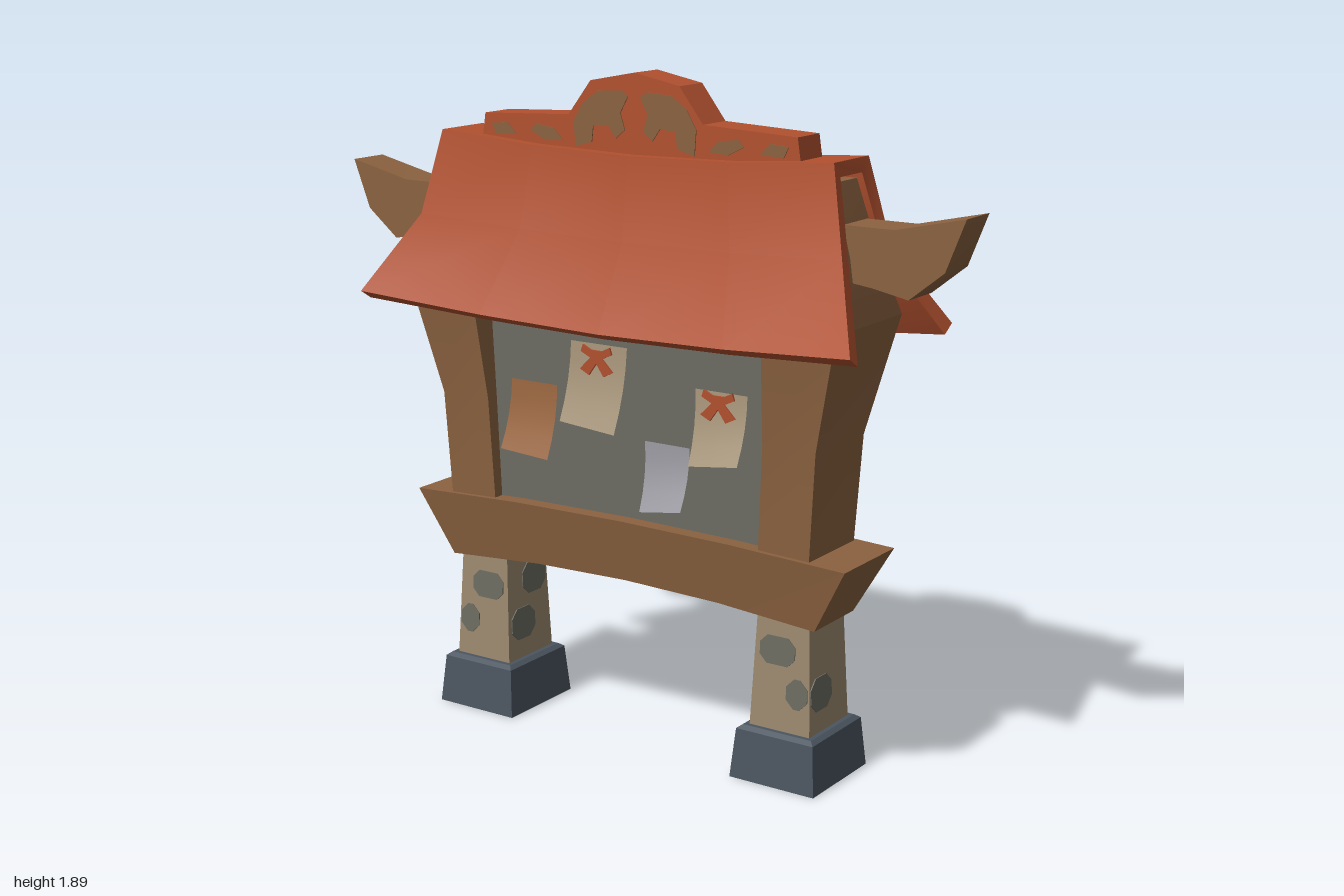
import * as THREE from 'three';
import { toCreasedNormals } from 'three/addons/utils/BufferGeometryUtils.js';

const material = (name, color, extra = {}) => {
  const m = new THREE.MeshStandardMaterial({ color, ...extra });
  m.name = name;
  return m;
};

// Solid through rings of equal point count; a ring is an outer run followed by the reversed inner run,
// so each end is closed by quads between paired points.
function loft(rings, crease = 0.3) {
  const n = rings[0].length, pos = [];
  const quad = (a, b, c, d) => pos.push(...a, ...b, ...c, ...a, ...c, ...d);
  for (let r = 0; r + 1 < rings.length; r++)
    for (let i = 0; i < n; i++) {
      const j = (i + 1) % n;
      quad(rings[r][i], rings[r][j], rings[r + 1][j], rings[r + 1][i]);
    }
  const first = rings[0], last = rings[rings.length - 1];
  for (let i = 0; i < n / 2 - 1; i++) {
    const k = [i, i + 1, n - 2 - i, n - 1 - i];
    quad(...k.map((q) => last[q]));
    quad(...k.reverse().map((q) => first[q]));
  }
  // Turn the surface outward if it came out inside out
  let volume = 0;
  const [a, b, c] = [0, 1, 2].map(() => new THREE.Vector3());
  for (let i = 0; i < pos.length; i += 9) {
    a.fromArray(pos, i); b.fromArray(pos, i + 3); c.fromArray(pos, i + 6);
    volume += a.dot(b.cross(c));
  }
  if (volume < 0)
    for (let i = 0; i < pos.length; i += 9)
      for (let k = 0; k < 3; k++) [pos[i + k], pos[i + 3 + k]] = [pos[i + 3 + k], pos[i + k]];
  const g = new THREE.BufferGeometry();
  g.setAttribute('position', new THREE.Float32BufferAttribute(pos, 3));
  return toCreasedNormals(g, crease);
}

// Horizontal rectangular ring
const rect = (x0, x1, y, z) => [[x0, y, z], [x1, y, z], [x1, y, -z], [x0, y, -z]];

const outline = (pts) => new THREE.Shape(pts.map(([x, y]) => new THREE.Vector2(x, y)));

const slab = (shape, depth, z = -depth / 2) =>
  new THREE.ExtrudeGeometry(shape, { depth, bevelEnabled: false, curveSegments: 4 }).translate(0, 0, z);

// Chamfered patch centred on the origin
const patch = (w, h) => {
  const x = w / 2, y = h / 2, c = h * 0.28;
  return outline([[-x + c, -y], [x - c, -y], [x, -y + c], [x, y - c], [x - c, y], [-x + c, y], [-x, y - c], [-x, -y + c]]);
};

export function createModel() {
  const model = new THREE.Group();
  model.name = 'noticeBoard';
  const roofRed = material('roof red', 0xb2512f);
  const wood = material('wood', 0x8b6240);
  const stone = material('pale stone', 0x9c8a70);
  const grey = material('grey stone', 0x6d6c62);
  const slate = material('slate', 0x4b5560);
  const parchment = material('parchment', 0xa8957a, { side: THREE.DoubleSide });
  const white = material('white paper', 0x9998a0, { side: THREE.DoubleSide });
  const tan = material('tan paper', 0x9a663f, { side: THREE.DoubleSide });

  const add = (name, geo, mat, parent = model) => {
    const m = new THREE.Mesh(geo, mat);
    m.name = name;
    parent.add(m);
    return m;
  };

  // Each side: foot, leg, post and horn, the other side turned half round
  for (const turn of [0, Math.PI]) {
    const side = new THREE.Group();
    side.name = turn ? 'rightSide' : 'leftSide';
    side.rotation.y = turn;
    model.add(side);
    const cx = 0.511;
    const foot = [[0.12, 0.055, 0.055], [0, 0.06, 0.06], [0, 0.133, 0.145], [0.14, 0.121, 0.132], [0.15, 0.108, 0.118]];
    add('foot', loft(foot.map(([y, x, z]) => rect(cx - x, cx + x, y, z))), slate, side);
    add('leg', loft([rect(0.415, 0.607, 0.115, 0.106), rect(0.43, 0.592, 0.48, 0.09)]), stone, side);

    // Stones set into the leg
    for (const s of [1, -1])
      for (const [x, y, w, h] of [[0.497, 0.375, 0.11, 0.08], [0.562, 0.263, 0.066, 0.085]]) {
        const p = add('legStone', slab(patch(w, h), 0.006), grey, side);
        p.position.set(x, y, s * (0.106 - 0.044 * (y - 0.115)));
        p.rotation.x = -s * 0.044;
      }
    for (const [s, y, z] of [[1, 0.26, 0.04], [-1, 0.255, -0.03], [-1, 0.385, 0.03]]) {
      const p = add('legStone', slab(patch(0.11, 0.095), 0.006).rotateY(Math.PI / 2), grey, side);
      p.position.set(cx + s * (0.096 - 0.041 * (y - 0.115)), y, z);
      p.rotation.z = s * 0.041;
    }

    // Post widening to the eaves, then narrowing as the gable
    const post = [
      [0.64, 0.445, 0.603, 0.12], [0.95, 0.46, 0.622, 0.128], [1.28, 0.478, 0.702, 0.175],
      [1.46, 0.478, 0.675, 0.085], [1.65, 0.478, 0.625, 0.053],
    ];
    add('post', loft(post.map(([y, x0, x1, z]) => rect(x0, x1, y, z))), wood, side);

    const horn = outline([[0.58, 1.41], [0.74, 1.39], [0.845, 1.37], [0.945, 1.45], [1, 1.59], [0.8, 1.545], [0.58, 1.545]]);
    add('horn', toCreasedNormals(slab(horn, 0.125), 0.9), wood, side);
  }

  const columns = [-1, -0.5, 0, 0.5, 1];

  // Arched sill beam
  add('sillBeam', loft(columns.map((t) => {
    const yb = 0.485 - 0.03 * t * t, yt = 0.665 - 0.02 * t * t;
    return [[0.615 * t, yb, 0.105], [0.72 * t, yt, 0.135], [0.72 * t, yt, -0.135], [0.615 * t, yb, -0.105]];
  })), wood);

  // Board: wooden back with a grey face
  add('backPanel', new THREE.BoxGeometry(1, 0.73, 0.165).translate(0, 1.005, -0.0025), wood);
  add('boardFace', new THREE.BoxGeometry(0.99, 0.73, 0.008).translate(0, 1.005, 0.084), grey);

  // Curved roof shell with flared corners
  add('roof', loft(columns.map((t) => {
    const q = t * t, c = Math.abs(t) ** 3;
    const outer = [[0.8, 1.21 + 0.04 * q, 0.23 + 0.045 * c], [0.69, 1.445 + 0.02 * q, 0.113 + 0.017 * q], [0.638, 1.675 + 0.03 * q, 0.09]];
    const inner = [[0.8, 1.19 + 0.035 * q, 0.192 + 0.043 * c], [0.69, 1.425 + 0.02 * q, 0.078 + 0.017 * q], [0.638, 1.64 + 0.025 * q, 0.056]];
    const at = (s) => ([x, y, z]) => [x * t, y, s * z];
    const full = (run) => [...run.map(at(1)), ...[...run].reverse().map(at(-1))];
    return [...full(outer), ...full(inner).reverse()];
  }), 0.5), roofRed);

  // Ridge crest with inlaid ornament on both faces
  const half = [[0.525, 1.66], [0.51, 1.757], [0.22, 1.77], [0.145, 1.867]];
  const mirror = (pts) => pts.map(([x, y]) => [-x, y]).reverse();
  add('crest', slab(outline([...half, [0, 1.895], ...mirror(half)]), 0.11), roofRed);
  const inlays = [
    [[0.02, 1.83], [0.045, 1.785], [0.03, 1.74], [0.06, 1.715], [0.085, 1.75], [0.135, 1.745], [0.14, 1.7],
      [0.195, 1.685], [0.2, 1.755], [0.17, 1.805], [0.12, 1.84], [0.04, 1.845]],
    [[0.24, 1.7], [0.3, 1.695], [0.35, 1.72], [0.33, 1.738], [0.27, 1.73]],
    [[0.4, 1.705], [0.47, 1.7], [0.485, 1.73], [0.43, 1.735]],
  ];
  for (const z of [0.055, -0.055])
    for (const pts of inlays)
      for (const p of [pts, mirror(pts)]) add('crestInlay', slab(outline(p), 0.006, z - 0.003), wood);

  // Notices lifting off the board toward the bottom: corners run top left, top right, bottom right, bottom left
  const notices = [
    ['tanNotice', tan, [[-0.4, 1.012], [-0.24, 1.012], [-0.24, 0.805], [-0.405, 0.815]]],
    ['tallNotice', parchment, [[-0.19, 1.148], [0, 1.148], [-0.01, 0.91], [-0.195, 0.925]]],
    ['wideNotice', parchment, [[0.225, 1.065], [0.39, 1.065], [0.39, 0.88], [0.235, 0.86]]],
    ['whiteNotice', white, [[0.06, 0.895], [0.207, 0.895], [0.21, 0.725], [0.075, 0.705]]],
  ];
  for (const [name, mat, [a, b, c, d]] of notices) {
    const g = new THREE.PlaneGeometry(1, 1, 2, 4), p = g.attributes.position;
    for (let i = 0; i < p.count; i++) {
      const u = p.getX(i) + 0.5, v = 0.5 - p.getY(i);
      const mix = (k) => (1 - v) * (a[k] + (b[k] - a[k]) * u) + v * (d[k] + (c[k] - d[k]) * u);
      p.setXYZ(i, mix(0), mix(1), 0.092 + 0.05 * v * v);
    }
    g.computeVertexNormals();
    add(name, g, mat);
  }

  // Ribbons pinned on two notices
  const ribbon = [[0, -0.015], [0.025, -0.05], [0.055, -0.035], [0.02, 0], [0.052, 0.015], [0.045, 0.035], [0.018, 0.022]];
  for (const [x, y] of [[-0.095, 1.11], [0.305, 1.035]])
    add('ribbon', slab(outline([...ribbon, ...mirror(ribbon.slice(1))]), 0.006, 0.1).translate(x, y, 0), roofRed);

  return model;
}
